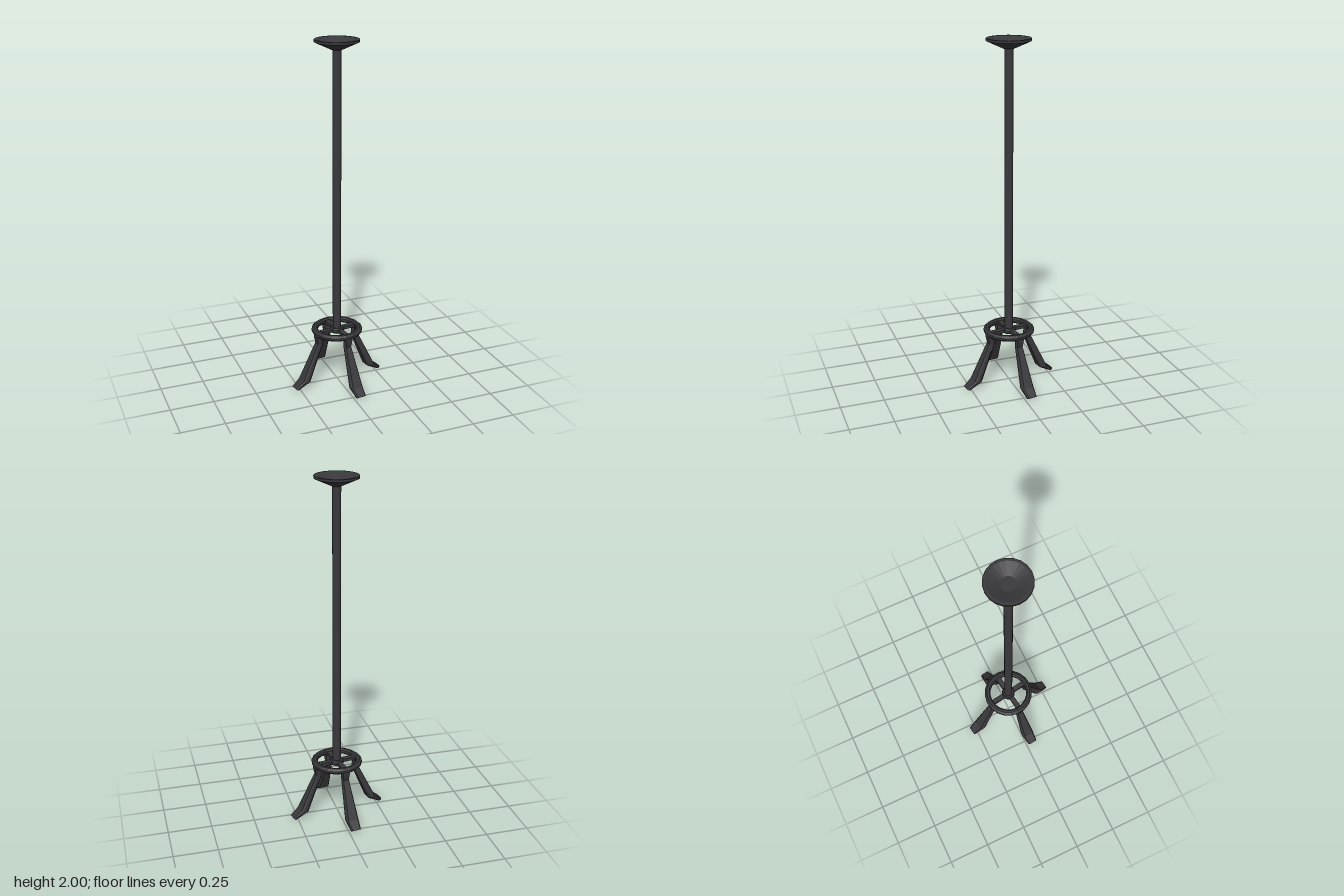
import * as THREE from 'three';

const charcoal = new THREE.MeshStandardMaterial({ color: 0x39393d, flatShading: true });
charcoal.name = 'charcoal';

function part(name, geometry, parent) {
  const mesh = new THREE.Mesh(geometry, charcoal);
  mesh.name = name;
  parent.add(mesh);
  return mesh;
}

function lathe(points, sides) {
  return new THREE.LatheGeometry(points.map(([r, y]) => new THREE.Vector2(r, y)), sides);
}

// Bevelled slab leg lofted through sections: outer r, y, inner r, y, width
function legGeometry() {
  const sections = [
    [0.143, 0.318, 0.108, 0.318, 0.05],
    [0.143, 0.3, 0.108, 0.3, 0.048],
    [0.135, 0.262, 0.103, 0.255, 0.04],
    [0.237, 0.05, 0.195, 0.04, 0.073],
    [0.285, 0.012, 0.268, 0, 0.056],
  ];
  const outline = [[-0.8, 1], [0.8, 1], [1, 0.75], [1, 0.25], [0.8, 0], [-0.8, 0], [-1, 0.25], [-1, 0.75]];
  const n = outline.length;
  const positions = [];
  const index = [];
  for (const [ro, yo, ri, yi, w] of sections) {
    for (const [u, t] of outline) {
      positions.push(ri + (ro - ri) * t, yi + (yo - yi) * t, u * w / 2);
    }
  }
  for (let s = 0; s < sections.length - 1; s++) {
    for (let j = 0; j < n; j++) {
      const a = s * n + j, b = s * n + (j + 1) % n;
      index.push(a, b, a + n, b, b + n, a + n);
    }
  }
  const end = (sections.length - 1) * n;
  for (let j = 1; j < n - 1; j++) {
    index.push(0, j + 1, j, end, end + j, end + j + 1);
  }
  const geometry = new THREE.BufferGeometry();
  geometry.setAttribute('position', new THREE.Float32BufferAttribute(positions, 3));
  geometry.setIndex(index);
  geometry.computeVertexNormals();
  return geometry;
}

export function createModel() {
  const model = new THREE.Group();
  model.name = 'floorStand';

  // Central pole
  const pole = part('pole', new THREE.CylinderGeometry(0.024, 0.024, 1.65, 16), model);
  pole.position.y = 1.13;

  // Shallow hollow dish on top
  part('topDish', lathe([
    [0, 1.945], [0.03, 1.945], [0.122, 1.987], [0.122, 2],
    [0.107, 2], [0.04, 1.975], [0, 1.975],
  ], 20), model);

  // Bevelled ring and hub of the base
  part('baseRing', lathe([
    [0.112, 0.316], [0.118, 0.308], [0.14, 0.308], [0.147, 0.316], [0.147, 0.328],
    [0.134, 0.339], [0.12, 0.339], [0.112, 0.332], [0.112, 0.316],
  ], 20), model);
  part('baseHub', lathe([
    [0, 0.305], [0.034, 0.305], [0.04, 0.312], [0.04, 0.328], [0.034, 0.335], [0, 0.335],
  ], 16), model);

  // Four spokes and legs, turned slightly off the main axes
  const legShape = legGeometry();
  const spokeShape = new THREE.BoxGeometry(0.095, 0.018, 0.03);
  for (let i = 0; i < 4; i++) {
    const arm = new THREE.Group();
    arm.name = 'arm' + (i + 1);
    arm.rotation.y = THREE.MathUtils.degToRad(8.5 + i * 90);
    part('leg', legShape, arm);
    part('spoke', spokeShape, arm).position.set(0.075, 0.321, 0);
    model.add(arm);
  }
  return model;
}
